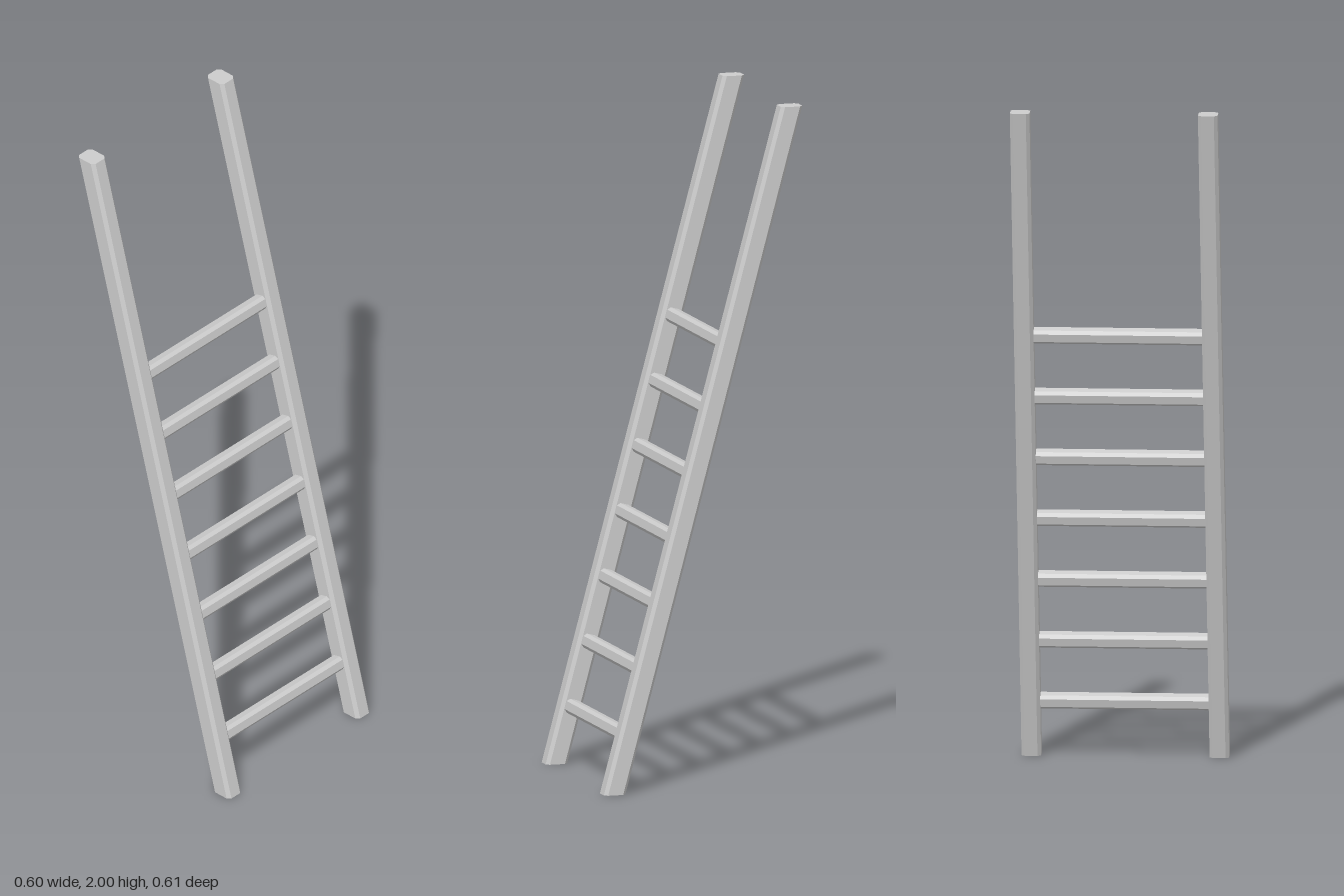
import * as THREE from 'three';

const HEIGHT = 2;
const LEAN = 0.27; // backward drift in z per unit of height

// Rectangular bar with chamfered corners, extruded along z
function chamferedBar(w, h, c, length) {
  const x = w / 2, y = h / 2;
  const shape = new THREE.Shape([
    [-x + c, -y], [x - c, -y], [x, -y + c], [x, y - c],
    [x - c, y], [-x + c, y], [-x, y - c], [-x, -y + c],
  ].map(([a, b]) => new THREE.Vector2(a, b)));
  return new THREE.ExtrudeGeometry(shape, { depth: length, bevelEnabled: false });
}

export function createModel() {
  const ladder = new THREE.Group();
  ladder.name = 'ladder';
  const metal = new THREE.MeshStandardMaterial({ color: 0xcccccc });
  metal.name = 'light grey metal';
  metal.flatShading = true;

  // Side rails: upright bars sheared backwards, keeping level ends
  const railGeometry = chamferedBar(0.057, 0.066, 0.01, HEIGHT).rotateX(-Math.PI / 2);
  const p = railGeometry.attributes.position;
  for (let i = 0; i < p.count; i++) {
    p.setZ(i, p.getZ(i) + LEAN * (HEIGHT / 2 - p.getY(i)));
  }
  railGeometry.computeVertexNormals();
  for (const side of [-1, 1]) {
    const rail = new THREE.Mesh(railGeometry, metal);
    rail.name = side > 0 ? 'leftRail' : 'rightRail';
    rail.position.x = side * 0.2735;
    ladder.add(rail);
  }

  // Rungs: chamfered bars tilted to match the rails
  const rungGeometry = chamferedBar(0.042, 0.042, 0.009, 0.51)
    .translate(0, 0, -0.255)
    .rotateY(Math.PI / 2)
    .rotateX(-Math.atan(LEAN));
  for (let i = 0; i < 7; i++) {
    const y = 0.168 + i * 0.1895;
    const rung = new THREE.Mesh(rungGeometry, metal);
    rung.name = `rung${i + 1}`;
    rung.position.set(0, y, LEAN * (HEIGHT / 2 - y));
    ladder.add(rung);
  }
  return ladder;
}
